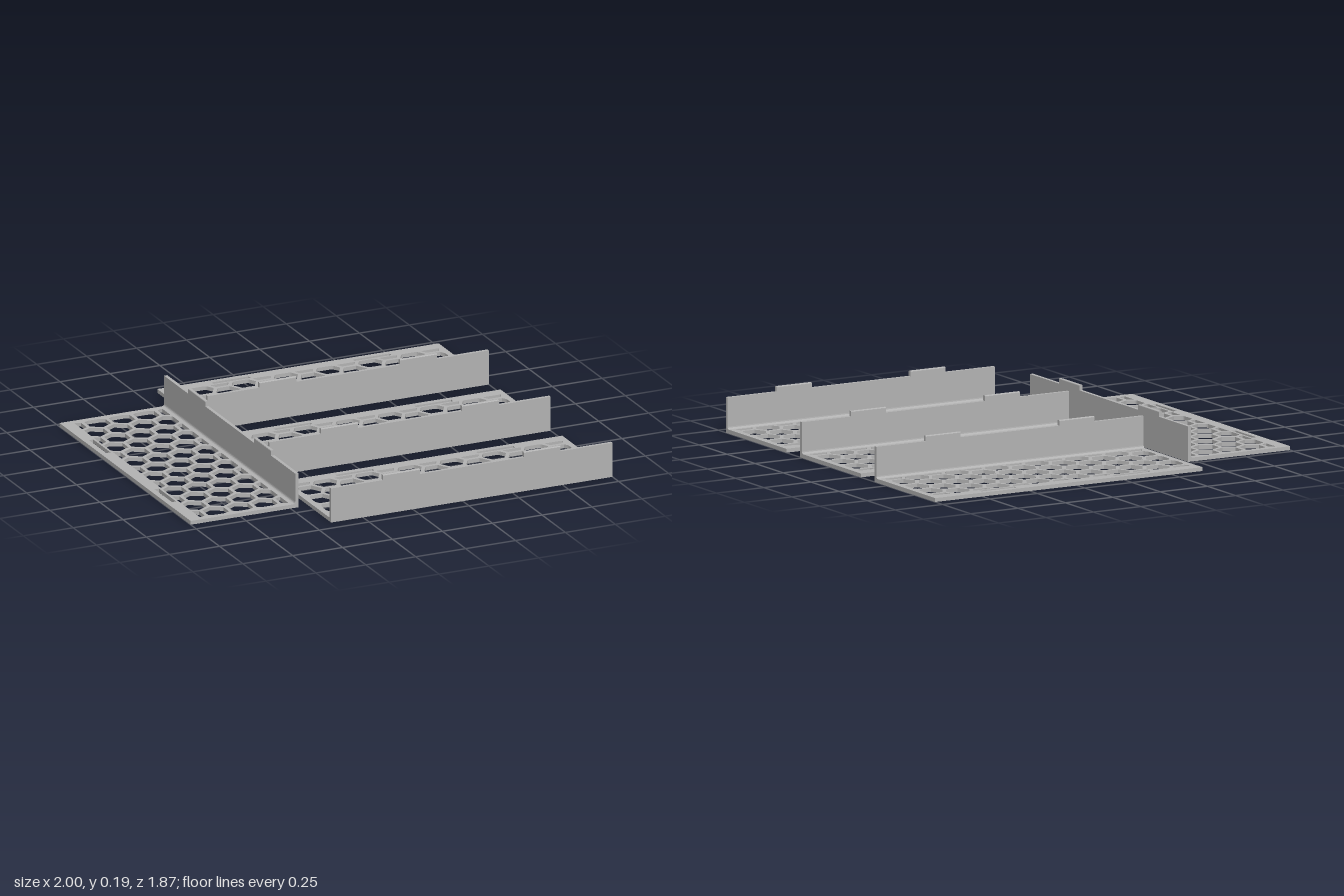
import * as THREE from 'three';

const LEN = 1.41, HALF = 0.27;        // panel length and half depth
const PLATE = 0.018, WALL = 0.016;    // thicknesses
const WALL_H = 0.165, TAB_H = 0.19;
const PITCH = 0.122, BAR = 0.017;     // honeycomb spacing and bar width
const WIN = { x0: -0.677, x1: 0.677, y0: -0.211, y1: 0.232 };
const TABS = [-0.353, 0.353], TAB_LEN = 0.185;

// Cut a convex polygon to one side of an axis-aligned line
function clip(poly, axis, limit, sign) {
  const out = [];
  poly.forEach((a, i) => {
    const b = poly[(i + 1) % poly.length];
    const da = (limit - a[axis]) * sign, db = (limit - b[axis]) * sign;
    if (da >= 0) out.push(a);
    if ((da > 0 && db < 0) || (da < 0 && db > 0)) out.push(a.clone().lerp(b, da / (da - db)));
  });
  return out;
}

// Hole outline; corners on the window edge are slightly rounded
function holePath(poly) {
  const path = new THREE.Path();
  const n = poly.length;
  const onEdge = (p) => Math.min(Math.abs(p.x - WIN.x0), Math.abs(p.x - WIN.x1),
    Math.abs(p.y - WIN.y0), Math.abs(p.y - WIN.y1)) < 1e-6;
  const toward = (p, q) => p.clone().lerp(q, Math.min(0.4, 0.01 / p.distanceTo(q)));
  poly.forEach((p, i) => {
    const a = onEdge(p) ? toward(p, poly[(i + n - 1) % n]) : p;
    if (i === 0) path.moveTo(a.x, a.y); else path.lineTo(a.x, a.y);
    if (onEdge(p)) {
      const b = toward(p, poly[(i + 1) % n]);
      path.quadraticCurveTo(p.x, p.y, b.x, b.y);
    }
  });
  path.closePath();
  return path;
}

function rectPoints(x0, y0, x1, y1) {
  return [[x0, y0], [x1, y0], [x1, y1], [x0, y1]].map(([x, y]) => new THREE.Vector2(x, y));
}

// Flat plate with honeycomb openings and two slots
function plateGeometry() {
  const shape = new THREE.Shape(rectPoints(-LEN / 2, -HALF, LEN / 2, HALF - WALL));
  const r = (PITCH - BAR) / Math.sqrt(3);
  const cy = (WIN.y0 + WIN.y1) / 2;
  for (let c = -6; c <= 6; c++) {
    const shift = c % 2 ? PITCH / 2 : 0;
    for (let k = -3; k <= 3; k++) {
      const x = c * PITCH * Math.sqrt(3) / 2, y = cy + k * PITCH + shift;
      let poly = [];
      for (let i = 0; i < 6; i++) {
        const a = i * Math.PI / 3;
        poly.push(new THREE.Vector2(x + r * Math.cos(a), y + r * Math.sin(a)));
      }
      poly = clip(poly, 'x', WIN.x1, 1);
      poly = clip(poly, 'x', WIN.x0, -1);
      poly = clip(poly, 'y', WIN.y1, 1);
      poly = clip(poly, 'y', WIN.y0, -1);
      if (poly.length > 2 && Math.abs(THREE.ShapeUtils.area(poly)) > 3e-4) shape.holes.push(holePath(poly));
    }
  }
  for (const t of TABS) {
    shape.holes.push(new THREE.Path(rectPoints(t - TAB_LEN / 2, -0.243, t + TAB_LEN / 2, -0.222)));
  }
  const geo = new THREE.ExtrudeGeometry(shape, { depth: PLATE, bevelEnabled: false, curveSegments: 3 });
  return geo.rotateX(Math.PI / 2).translate(0, PLATE, 0);
}

// Cross-section in depth and height, swept along the panel
function sweep(shape, length) {
  const geo = new THREE.ExtrudeGeometry(shape, { depth: length, bevelEnabled: false, curveSegments: 4 });
  return geo.translate(0, 0, -length / 2).rotateY(Math.PI / 2);
}

// Upright wall with a small fillet at its foot
function wallGeometry() {
  const s = new THREE.Shape(), inner = -(HALF - WALL), f = 0.012;
  s.moveTo(-HALF, 0);
  s.lineTo(inner, 0);
  s.lineTo(inner, PLATE);
  s.lineTo(inner + f, PLATE);
  s.quadraticCurveTo(inner, PLATE, inner, PLATE + f);
  s.lineTo(inner, WALL_H);
  s.lineTo(-HALF, WALL_H);
  return sweep(s, LEN);
}

// Tab with softened top edges
function tabGeometry() {
  const s = new THREE.Shape(), inner = -(HALF - WALL), c = 0.005;
  s.moveTo(-HALF, WALL_H);
  s.lineTo(inner, WALL_H);
  s.lineTo(inner, TAB_H - c);
  s.quadraticCurveTo(inner, TAB_H, inner - c, TAB_H);
  s.lineTo(-HALF + c, TAB_H);
  s.quadraticCurveTo(-HALF, TAB_H, -HALF, TAB_H - c);
  return sweep(s, TAB_LEN);
}

export function createModel() {
  const model = new THREE.Group();
  model.name = 'honeycombPanels';
  const grey = new THREE.MeshStandardMaterial({ color: 0xb2b2b2 });
  grey.name = 'grey';
  const plate = plateGeometry(), wall = wallGeometry(), tab = tabGeometry();

  function addPanel(name, x, z, turn) {
    const panel = new THREE.Group();
    panel.name = name;
    const add = (geo, part, px = 0) => {
      const mesh = new THREE.Mesh(geo, grey);
      mesh.name = part;
      mesh.position.x = px;
      panel.add(mesh);
    };
    add(plate, 'honeycombPlate');
    add(wall, 'wall');
    TABS.forEach((t, i) => add(tab, 'tab' + (i + 1), t));
    panel.position.set(x, 0, z);
    panel.rotation.y = turn;
    model.add(panel);
  }

  // Three parallel panels and one turned a quarter
  ['backPanel', 'middlePanel', 'frontPanel'].forEach((name, i) => addPanel(name, 0.295, (i - 1) * 0.664, 0));
  addPanel('sidePanel', -0.73, -0.015, Math.PI / 2);
  return model;
}
